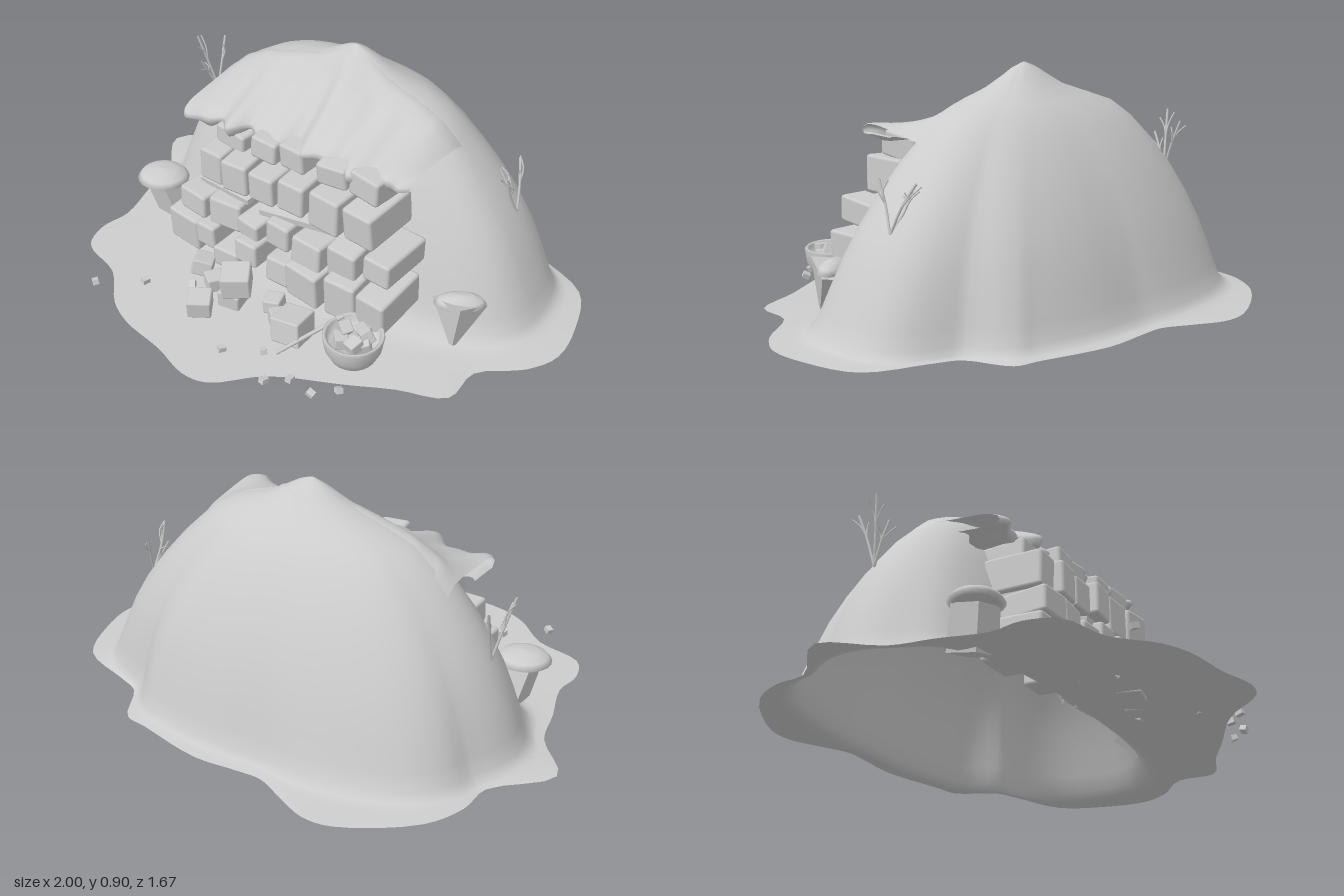
import * as THREE from 'three';
import { RoundedBoxGeometry } from 'three/addons/geometries/RoundedBoxGeometry.js';

const stone = new THREE.MeshStandardMaterial({ color: 0xcccccc, side: THREE.DoubleSide });
stone.name = 'pale grey';

// Small seeded random in -1..1
let seed = 7;
const rnd = () => ((seed = (seed * 16807) % 2147483647) / 2147483647) * 2 - 1;

// Ground outline (x, z)
const OUTLINE = [
  [-.36, -.84], [-.47, -.83], [-.72, -.67], [-.80, -.53], [-.82, -.40], [-1, -.21], [-.88, -.03], [-.85, .13],
  [-.81, .30], [-.83, .42], [-.79, .53], [-.61, .59], [-.48, .71], [-.37, .76], [-.18, .79], [-.03, .83], [.07, .81],
  [.22, .66], [.46, .53], [.62, .44], [.79, .36], [.80, .21], [.94, .08], [1, -.04], [.98, -.21], [.90, -.39],
  [.68, -.48], [.59, -.52], [.50, -.67], [.41, -.69], [.14, -.75], [-.04, -.74], [-.13, -.74], [-.24, -.79],
];
// Mound levels: y, reach to -x, +x, front, back (from the peak axis)
const AXIS_Z = -.17;
const LEVELS = [
  [.035, .92, .90, .40, .55], [.06, .885, .87, .365, .525], [.12, .86, .84, .34, .505], [.20, .83, .80, .325, .48],
  [.30, .785, .75, .30, .45], [.40, .73, .69, .27, .41], [.50, .67, .615, .24, .365], [.60, .59, .53, .205, .31],
  [.68, .51, .45, .165, .255], [.74, .41, .385, .13, .205], [.78, .29, .30, .10, .155], [.82, .17, .175, .07, .105],
  [.86, .10, .105, .045, .065], [.89, .05, .055, .025, .035], [.905, .015, .015, .009, .009],
];

const outline = new THREE.CatmullRomCurve3(
  OUTLINE.map(([x, z]) => new THREE.Vector3(x, .025, z)), true, 'centripetal').getPoints(136).slice(0, -1);

// Radius of one mound level in a direction
function ringRadius([y, left, right, front, back], dx, dz) {
  const p = 2.75 - y * .8;
  const a = Math.abs(dx) / (dx < 0 ? left : right), b = Math.abs(dz) / (dz > 0 ? front : back);
  return Math.pow(Math.pow(a, p) + Math.pow(b, p), -1 / p);
}
function moundHeight(x, z) {
  const r = Math.hypot(x, z - AXIS_Z);
  if (r < .001) return .908;
  const dx = x / r, dz = (z - AXIS_Z) / r;
  let above = .91, rAbove = 0;
  for (let i = LEVELS.length - 1; i >= 0; i--) {
    const R = ringRadius(LEVELS[i], dx, dz);
    if (r <= R) return above + (LEVELS[i][0] - above) * (r - rAbove) / (R - rAbove);
    above = LEVELS[i][0]; rAbove = R;
  }
  return .03;
}

// Surface from rows of points
function skin(rows, closed) {
  const n = rows[0].length, index = [];
  for (let j = 0; j < rows.length - 1; j++)
    for (let i = 0; i < (closed ? n : n - 1); i++) {
      const k = (i + 1) % n, a = j * n + i, b = j * n + k, c = a + n, d = b + n;
      index.push(a, b, c, b, d, c);
    }
  const g = new THREE.BufferGeometry();
  g.setAttribute('position', new THREE.Float32BufferAttribute(rows.flat(2), 3));
  g.setIndex(index);
  g.computeVertexNormals();
  return g;
}

function add(parent, name, geometry, pos = [0, 0, 0], rot = [0, 0, 0]) {
  const m = new THREE.Mesh(geometry, stone);
  m.name = name;
  m.position.set(...pos);
  m.rotation.set(...rot);
  parent.add(m);
  return m;
}

// Ground sheet rising into the hollow mound
function moundGeometry() {
  const n = outline.length;
  const polar = outline.map(p => {
    const r = Math.hypot(p.x, p.z - AXIS_Z);
    return { r, dx: p.x / r, dz: (p.z - AXIS_Z) / r };
  });
  const point = (o, r, y) => [o.dx * r, y, AXIS_Z + o.dz * r];
  // outline limit, blurred so that its lobes fade out on the slopes
  let limit = polar.map(o => o.r);
  for (let pass = 0; pass < 12; pass++)
    limit = limit.map((r, i) => Math.min(polar[i].r, (limit[(i + n - 1) % n] + 2 * r + limit[(i + 1) % n]) / 4));
  const radius = (i, L) => {
    const a = ringRadius(L, polar[i].dx, polar[i].dz), b = limit[i] * (L[2] / .9) * (.97 + L[0] * .25);
    return Math.pow(Math.pow(a, -14) + Math.pow(b, -14), -1 / 14);
  };
  const rows = [0, .35, .7].map(t =>
    polar.map((o, i) => point(o, o.r + (radius(i, LEVELS[0]) - o.r) * t, .025 + .008 * t)));
  LEVELS.forEach(L => rows.push(polar.map((o, i) => point(o, radius(i, L), L[0]))));
  rows.push(polar.map(() => [0, .91, AXIS_Z]));
  return skin(rows, true);
}

// Draped cap: its back is sunk in the mound, its scalloped lip hangs over the wall
function capGeometry() {
  const rows = [], nx = 60, nz = 18;
  const columns = Array.from({ length: nx + 1 }, (_, i) => {
    const x = -.56 + 1.03 * i / nx;
    return { x, lip: .595 + .09 * i / nx + .01 * Math.sin(x * 17),
      edge: .165 + .022 * Math.sin(x * 34) + .014 * Math.sin(x * 57 + 1), crest: moundHeight(x, AXIS_Z) };
  });
  for (let j = 0; j <= nz; j++)
    rows.push(columns.map(({ x, lip, edge, crest }) => {
      const z = -.28 + (edge + .28) * j / nz;
      const t = THREE.MathUtils.clamp((z - AXIS_Z) / (edge - AXIS_Z), 0, 1);
      const drape = t > 0 ? lip + (crest - lip) * Math.pow(1 - t, 1.35) : 0;
      const sink = -.03 + .04 * THREE.MathUtils.smoothstep(z, -.28, -.1);
      return [x, Math.max(moundHeight(x, z), drape) + sink - .02 * Math.pow(t, 12), z];
    }));
  // rolled lip and underside
  [[.008, -.025], [-.008, -.045], [-.05, -.04], [-.16, -.03]].forEach(([dz, dy]) =>
    rows.push(columns.map(({ x, lip, edge }) => [x, lip + dy + (dy < -.03 ? .012 * Math.sin(x * 45) : 0), edge + dz])));
  return skin(rows.map(r => r.reverse()), false);
}

// Rows of wall blocks: front z, then x, y, width, height
const WALL = [
  [.345, [[-.46, .14, .16, .15], [-.33, .18, .1, .1], [-.24, .11, .13, .09], [-.13, .19, .11, .1], [.01, .17, .11, .11],
    [.14, .18, .16, .15], [.3, .2, .14, .17], [.44, .21, .13, .14]]],
  [.31, [[-.41, .28, .14, .1], [-.28, .28, .15, .12], [-.14, .28, .11, .08], [-.01, .31, .11, .11], [.13, .29, .14, .12],
    [.28, .33, .13, .14], [.43, .36, .12, .1]]],
  [.265, [[-.37, .44, .11, .14], [-.25, .45, .12, .13], [-.12, .45, .12, .12], [.02, .48, .12, .13], [.17, .47, .14, .15],
    [.33, .49, .14, .14]]],
  [.2, [[-.32, .54, .15, .08], [-.15, .58, .12, .09], [-.02, .59, .12, .1], [.15, .61, .13, .09], [.31, .61, .14, .1]]],
];
// Fallen blocks: x, y, z, size, turn
const FALLEN = [
  [-.32, .07, .38, .08, .5], [-.23, .06, .42, .07, 1], [-.1, .15, .44, .11, .6], [-.12, .06, .44, .09, .2],
  [-.18, .08, .56, .09, .6], [.03, .06, .38, .07, .3], [.1, .07, .44, .07, .9], [.18, .095, .46, .12, .1],
];
const PEBBLES = [[-.61, .68], [-.46, .56], [.01, .66], [.23, .69], [.3, .63], [.4, .64], [.47, .57], [.14, .58],
  [-.3, .47], [.1, .36]];

// Forked twigs growing from one spot
function bush(name, base, tips) {
  const g = new THREE.Group();
  g.name = name;
  const b = new THREE.Vector3(...base);
  const branch = (from, to, r) => {
    const mid = from.clone().lerp(to, .5).add(new THREE.Vector3(rnd() * .01, .008, rnd() * .01));
    add(g, 'twig', new THREE.TubeGeometry(new THREE.CatmullRomCurve3([from, mid, to]), 5, r, 5));
    return mid;
  };
  tips.forEach(t => {
    const tip = new THREE.Vector3(...t);
    const mid = branch(b, tip, .005);
    for (const s of [-1, 1])
      branch(mid, tip.clone().lerp(mid, .2).add(new THREE.Vector3(s * .015, rnd() * .02, s * .025)), .003);
  });
  return g;
}

// Mushroom: faceted wedge stem under a domed cap
function mushroom(name, cap, size, turn, stem) {
  const g = new THREE.Group();
  g.name = name;
  const dome = add(g, 'mushroomCap', new THREE.LatheGeometry(
    [[0, -.1], [.8, -.2], [1, 0], [.85, .5], [.5, .88], [0, 1]].map(p => new THREE.Vector2(...p)), 20), cap, [0, turn, 0]);
  dome.scale.set(...size);
  const s = new THREE.CylinderGeometry(stem.top, stem.bottom, stem.h, 4).toNonIndexed();
  s.computeVertexNormals();
  add(g, 'mushroomStem', s, stem.pos, stem.rot);
  return g;
}

export function createModel() {
  seed = 7;
  const model = new THREE.Group();
  model.name = 'ruinedMound';
  add(model, 'mound', moundGeometry());
  add(model, 'cap', capGeometry());

  // Deep blocks that reach through the front of the mound
  const wall = new THREE.Group();
  wall.name = 'blockWall';
  model.add(wall);
  WALL.forEach(([z, blocks]) => blocks.forEach(([x, y, w, h]) =>
    add(wall, 'wallBlock', new RoundedBoxGeometry(w * .95, h, .23, 1, .012), [x, y, z - .12 + rnd() * .015],
      [rnd() * .08, rnd() * .12, rnd() * .07])));
  add(wall, 'slab', new THREE.BoxGeometry(.32, .025, .2), [.03, .385, .16], [.1, .1, .12]);
  add(wall, 'slab', new THREE.BoxGeometry(.26, .02, .2), [-.3, .36, .15], [.1, -.1, .1]);

  FALLEN.forEach(([x, y, z, s, turn]) =>
    add(model, 'fallenBlock', new RoundedBoxGeometry(s, s * .85, s, 1, .007), [x, y, z], [rnd() * .15, turn, rnd() * .15]));
  PEBBLES.forEach(([x, z]) =>
    add(model, 'pebble', new THREE.BoxGeometry(.028, .02, .024), [x, .038, z], [rnd() * .4, rnd() * 3, rnd() * .4]));

  // Bowl of rubble with a leaning stick
  const bowl = new THREE.Group();
  bowl.name = 'bowl';
  bowl.position.set(.43, .055, .43);
  model.add(bowl);
  add(bowl, 'bowlShell', new THREE.LatheGeometry(
    [[0, 0], [.06, 0], [.085, .025], [.104, .065], [.112, .118], [.106, .124], [.096, .118], [.088, .075], [0, .06]]
      .map(p => new THREE.Vector2(...p)), 24));
  for (let i = 0; i < 6; i++)
    add(bowl, 'rubble', new RoundedBoxGeometry(.055, .045, .05, 1, .005),
      [Math.cos(i * 2.4) * .045, .105 + rnd() * .015, Math.sin(i * 2.4) * .045], [rnd(), rnd() * 3, rnd()]);
  add(model, 'stick', new THREE.TubeGeometry(
    new THREE.LineCurve3(new THREE.Vector3(.19, .05, .57), new THREE.Vector3(.35, .18, .38)), 1, .008, 6));

  model.add(mushroom('leftMushroom', [-.7, .195, .18], [.105, .04, .095], .4,
    { top: .08, bottom: .085, h: .16, pos: [-.68, .115, .16], rot: [0, .7, .3] }));
  model.add(mushroom('rightMushroom', [.66, .205, .1], [.095, .038, .05], .6,
    { top: .1, bottom: .012, h: .17, pos: [.665, .13, .125], rot: [-.45, .5, .12] }));

  model.add(bush('leftBush', [-.73, .41, -.21], [[-.79, .65, -.17], [-.74, .62, -.28], [-.75, .56, -.14]]));
  model.add(bush('rightBush', [.67, .40, -.25], [[.66, .58, -.18], [.62, .58, -.33], [.58, .55, -.26]]));
  return model;
}
